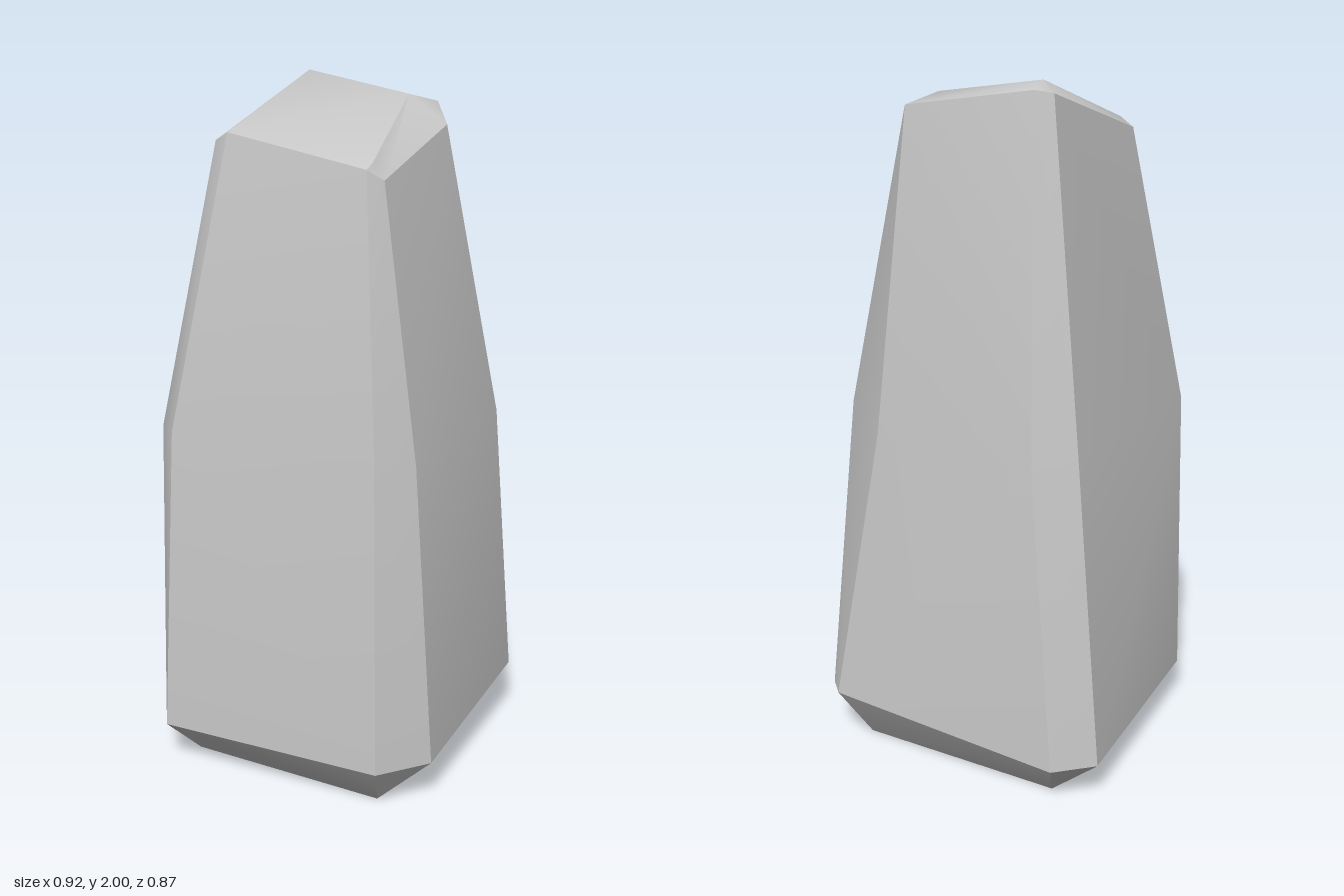
import * as THREE from 'three';
import { mergeGeometries, toCreasedNormals } from 'three/addons/utils/BufferGeometryUtils.js';

// Each ring holds eight points: two per bevelled corner,
// running front-left, front-right, back-right, back-left.
const base = [
  [-0.3, 0, 0.3], [0.31, 0, 0.3], [0.31, 0, 0.3], [0.32, 0, -0.33],
  [0.32, 0, -0.33], [-0.31, 0, -0.33], [-0.31, 0, -0.33], [-0.3, 0, 0.3],
];
const foot = [
  [-0.33, 0.13, 0.43], [0.35, 0.13, 0.39], [0.455, 0.13, 0.25], [0.42, 0.17, -0.38],
  [0.37, 0.17, -0.43], [-0.36, 0.13, -0.435], [-0.46, 0.13, -0.34], [-0.41, 0.13, 0.32],
];
const waist = [
  [-0.31, 1.03, 0.385], [0.315, 1.03, 0.345], [0.39, 1.0, 0.245], [0.41, 1.04, -0.24],
  [0.25, 1.0, -0.35], [-0.265, 1.0, -0.38], [-0.36, 1.02, -0.29], [-0.39, 1.02, 0.315],
];
const shoulder = [
  [-0.215, 1.855, 0.215], [0.23, 1.785, 0.24], [0.265, 1.755, 0.205], [0.28, 1.87, -0.135],
  [0.19, 1.92, -0.26], [-0.18, 1.98, -0.22], [-0.22, 1.97, -0.185], [-0.26, 1.83, 0.205],
];
const crown = [
  [-0.215, 1.855, 0.215], [0.235, 1.8, 0.215], [0.265, 1.755, 0.205], [0.28, 1.87, -0.135],
  [0.15, 1.945, -0.155], [-0.18, 2, -0.17], [-0.18, 2, -0.17], [-0.215, 1.855, 0.215],
];
const sides = [0, 1, 2, 3, 4, 5, 6, 7];

// Splits one quad between two rings along its outward-bulging diagonal
function quad(lo, hi, i) {
  const j = (i + 1) % 8;
  const [a, b, c, d] = [lo[i], lo[j], hi[j], hi[i]];
  const plane = new THREE.Plane().setFromCoplanarPoints(
    new THREE.Vector3(...a), new THREE.Vector3(...b), new THREE.Vector3(...d));
  return plane.distanceToPoint(new THREE.Vector3(...c)) > 0
    ? [[a, b, c], [a, c, d]]
    : [[a, b, d], [b, c, d]];
}

// Turns triangles into a surface that is smooth below the crease angle,
// leaving out triangles that collapse where corner points merge
function surface(triangles, creaseDegrees) {
  const solid = triangles.filter((t) =>
    new THREE.Triangle(...t.map((p) => new THREE.Vector3(...p))).getArea() > 1e-7);
  const geometry = new THREE.BufferGeometry();
  geometry.setAttribute('position', new THREE.Float32BufferAttribute(solid.flat(2), 3));
  return toCreasedNormals(geometry, THREE.MathUtils.degToRad(creaseDegrees));
}

export function createModel() {
  const stone = new THREE.MeshStandardMaterial({ color: 0xc6c6c6 });
  stone.name = 'stone grey';

  const group = new THREE.Group();
  group.name = 'standingStone';
  const add = (name, geometry) => {
    const mesh = new THREE.Mesh(geometry, stone);
    mesh.name = name;
    group.add(mesh);
  };

  // Undercut foot and flat underside
  add('stoneFoot', surface(sides.flatMap((i) => [
    ...quad(base, foot, i),
    [base[0], base[(i + 1) % 8], base[i]],
  ]), 30));

  // Tall facets, each smooth along its height with sharp edges between them
  add('stoneShaft', mergeGeometries(sides.map((i) =>
    surface([...quad(foot, waist, i), ...quad(waist, shoulder, i)], 50))));

  // Sloping top with its worn rim
  add('stoneTop', surface(sides.flatMap((i) => [
    ...quad(shoulder, crown, i),
    [crown[4], crown[i], crown[(i + 1) % 8]],
  ]), 45));

  return group;
}
